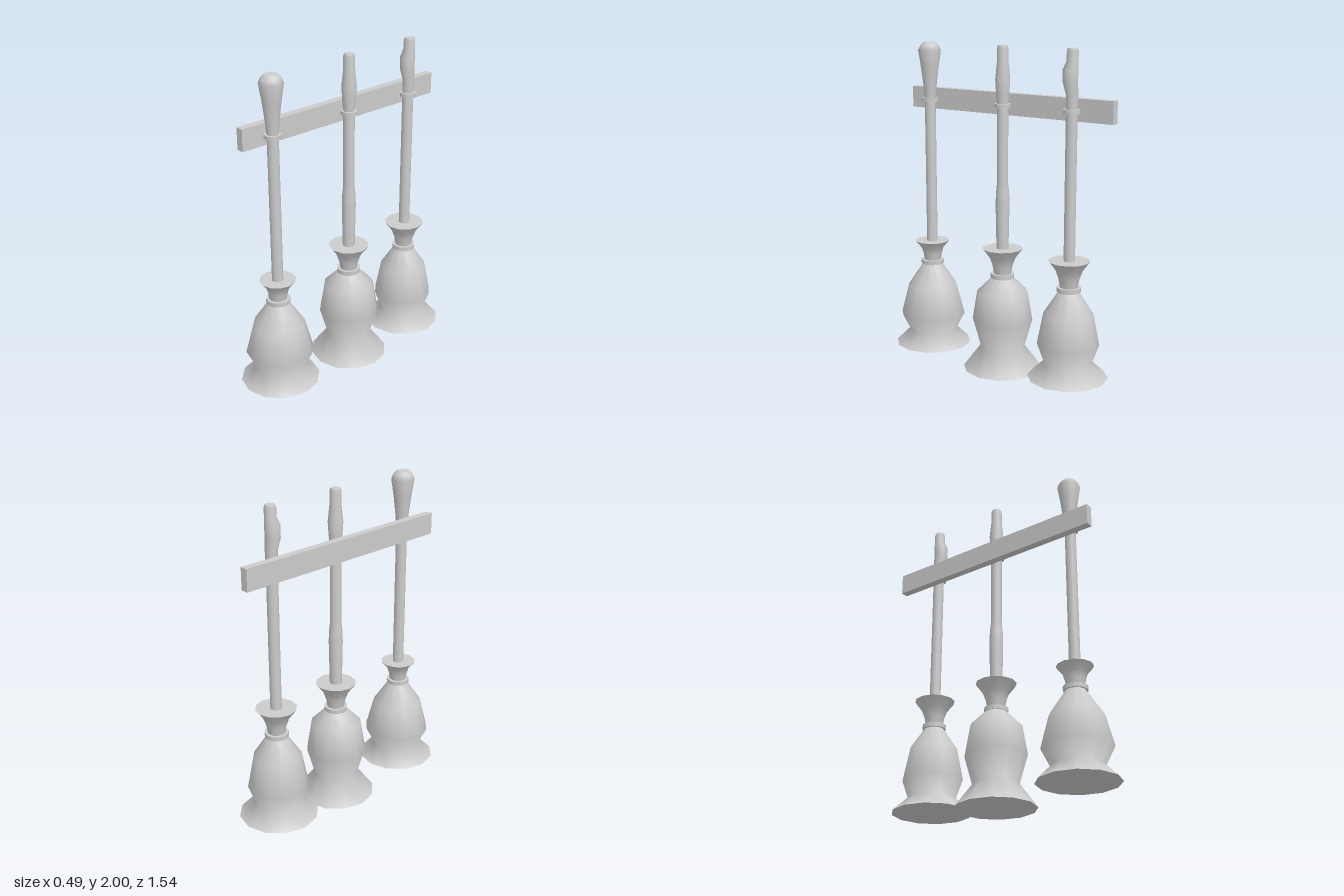
import * as THREE from 'three';
import { mergeGeometries } from 'three/addons/utils/BufferGeometryUtils.js';

const material = new THREE.MeshStandardMaterial({ color: 0xcccccc });

const lathe = (points, sides) =>
  new THREE.LatheGeometry(points.map(([r, y]) => new THREE.Vector2(r, y)), sides);

// Smooth turned solid from a bottom-to-top [radius, y] profile, with flat sharp-edged ends
function turned(name, profile, sides = 12) {
  const [r0, y0] = profile[0];
  const [r1, y1] = profile[profile.length - 1];
  const geometry = mergeGeometries([
    lathe(profile, sides),
    lathe([[0, y0], [r0, y0]], sides),
    lathe([[r1, y1], [0, y1]], sides),
  ]);
  const mesh = new THREE.Mesh(geometry, material);
  mesh.name = name;
  return mesh;
}

// Flat band around the broom axis
function band(name, radius, y, height) {
  const mesh = new THREE.Mesh(new THREE.CylinderGeometry(radius, radius, height, 12), material);
  mesh.name = name;
  mesh.position.y = y;
  return mesh;
}

function createBroom({ name, z, bristles, collar, shaft, grip, bend }) {
  const broom = new THREE.Group();
  broom.name = name;
  broom.position.z = z;
  const handle = turned('grip', grip, 16);
  if (bend) {
    // Push the swelling of the grip forward so its back stays straight
    const p = handle.geometry.attributes.position;
    for (let i = 0; i < p.count; i++) {
      const y = p.getY(i);
      if (y > 1.75 && y < 1.91) p.setZ(i, p.getZ(i) + bend);
    }
  }
  broom.add(
    turned('bristles', bristles),
    band('bindingRing', 0.073, 0.597, 0.027),
    turned('collar', collar),
    turned('shaft', shaft, 16),
    band('hangingRing', 0.05, 1.645, 0.024),
    handle
  );
  return broom;
}

const straightShaft = [[0.034, 0.7], [0.034, 1.645]];
const tallCollar = [[0.052, 0.6], [0.062, 0.66], [0.08, 0.71], [0.125, 0.77]];

const brooms = [
  {
    name: 'frontBroom', z: 0.525,
    bristles: [[0.243, 0.05], [0.152, 0.14], [0.207, 0.25], [0.157, 0.44], [0.06, 0.585]],
    collar: [[0.052, 0.6], [0.06, 0.65], [0.072, 0.69], [0.11, 0.735]],
    shaft: straightShaft,
    grip: [[0.034, 1.645], [0.04, 1.72], [0.054, 1.84], [0.071, 1.95], [0.058, 1.98], [0.038, 2]],
  },
  {
    name: 'middleBroom', z: -0.038,
    bristles: [[0.243, 0], [0.138, 0.14], [0.187, 0.315], [0.157, 0.495], [0.067, 0.585]],
    collar: tallCollar,
    shaft: [[0.036, 0.7], [0.038, 0.8], [0.043, 1.05], [0.04, 1.12], [0.034, 1.18], [0.034, 1.645]],
    grip: [[0.034, 1.645], [0.04, 1.72], [0.045, 1.8], [0.034, 1.91], [0.034, 1.985], [0.028, 2]],
  },
  {
    name: 'backBroom', z: -0.522,
    bristles: [[0.243, 0.05], [0.145, 0.14], [0.186, 0.255], [0.148, 0.45], [0.06, 0.585]],
    collar: tallCollar,
    shaft: straightShaft,
    grip: [[0.034, 1.645], [0.036, 1.74], [0.044, 1.81], [0.045, 1.88], [0.034, 1.93], [0.034, 1.985], [0.028, 2]],
    bend: 0.013,
  },
];

export function createModel() {
  const model = new THREE.Group();
  model.name = 'hangingBrooms';
  for (const spec of brooms) model.add(createBroom(spec));

  // Wall rail the brooms hang from
  const rail = new THREE.Mesh(new THREE.BoxGeometry(0.048, 0.132, 1.47), material);
  rail.name = 'rail';
  rail.position.set(-0.064, 1.65, -0.033);
  model.add(rail);
  return model;
}
